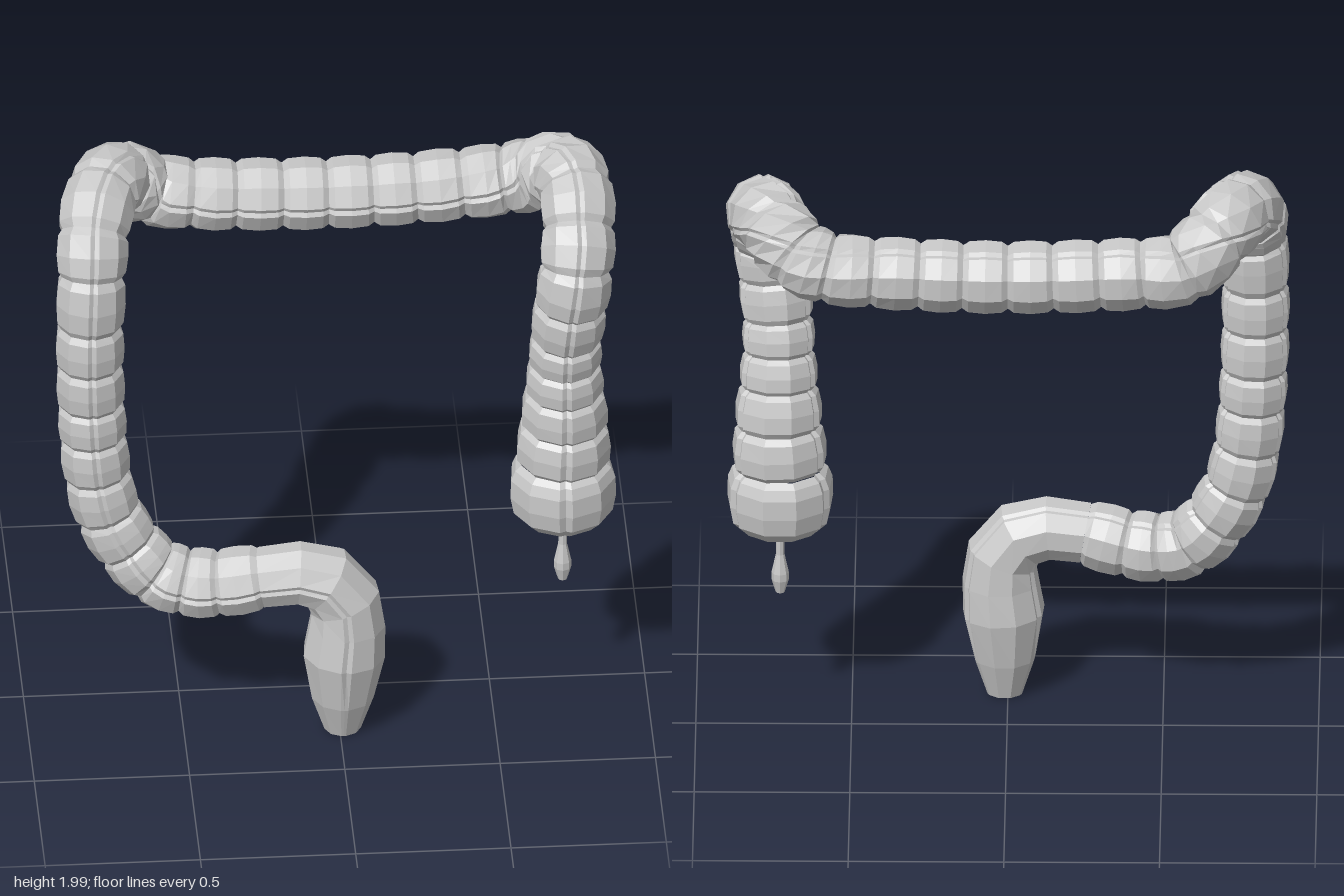
import * as THREE from 'three';

// Each row is a pinch between two pouches: x, y, z, radius
const ascending = [
  [0.73, 0.885, 0.08, 0.155], [0.735, 1.03, 0.085, 0.145], [0.735, 1.165, 0.1, 0.13],
  [0.735, 1.28, 0.115, 0.118], [0.738, 1.39, 0.135, 0.116], [0.75, 1.53, 0.16, 0.12],
  [0.768, 1.67, 0.165, 0.12],
];
const rightBend = [
  [0.78, 1.775, 0.09, 0.12], [0.78, 1.85, -0.03, 0.12], [0.745, 1.855, -0.14, 0.12],
  [0.67, 1.79, -0.22, 0.12],
];
const transverse = [0.57, 0.43, 0.28, 0.14, -0.005, -0.15, -0.3, -0.44]
  .map((x) => [x, 1.728 + 0.09 * x * x, -0.245, 0.117]);
const leftBend = [
  [-0.575, 1.765, -0.25, 0.118], [-0.67, 1.85, -0.2, 0.12], [-0.74, 1.88, -0.07, 0.12],
  [-0.78, 1.81, 0.07, 0.118],
];
const descending = [
  [-0.79, 1.69, 0.13, 0.112], [-0.796, 1.51, 0.145, 0.11], [-0.796, 1.36, 0.145, 0.11],
  [-0.792, 1.21, 0.14, 0.11], [-0.785, 1.08, 0.14, 0.11], [-0.77, 0.935, 0.14, 0.11],
  [-0.735, 0.79, 0.145, 0.11],
];
const sigmoid = [
  [-0.67, 0.67, 0.155, 0.11], [-0.59, 0.58, 0.175, 0.112], [-0.495, 0.548, 0.195, 0.114],
  [-0.385, 0.55, 0.215, 0.112],
];
const rectum = [
  [-0.25, 0.578, 0.235, 0.108], [-0.13, 0.592, 0.24, 0.104], [-0.04, 0.568, 0.243, 0.112],
  [0.018, 0.49, 0.245, 0.118], [0.024, 0.4, 0.247, 0.125], [0.014, 0.29, 0.248, 0.134],
  [0.01, 0.13, 0.247, 0.102], [0.01, 0.005, 0.245, 0.06],
];

const parts = { ascending, rightBend, transverse, leftBend, descending, sigmoid, rectum };
const rows = Object.values(parts).flat();
const curve = new THREE.CatmullRomCurve3(rows.map((p) => new THREE.Vector3(p[0], p[1], p[2])), false, 'centripetal');

// Three rounded lobes separated by narrow lengthwise grooves
const section = [];
for (let lobe = 0; lobe < 3; lobe++) {
  for (const [deg, groove] of [[0, 1], [7, 0], [42, 0], [78, 0], [113, 0]]) {
    section.push([THREE.MathUtils.degToRad(lobe * 120 + deg), groove]);
  }
}

// Ring of points around a centre, with its first groove turned to the front or top
function makeRing(centre, tangent, radius, depth) {
  const lift = THREE.MathUtils.clamp((centre.y - 1.74) / 0.09, 0, 1);
  const n = new THREE.Vector3(0, lift, 1).addScaledVector(tangent, -(lift * tangent.y + tangent.z)).normalize();
  const b = new THREE.Vector3().crossVectors(tangent, n);
  return section.map(([a, groove]) => {
    const r = radius * (1 - groove * depth);
    return centre.clone().addScaledVector(n, Math.cos(a) * r).addScaledVector(b, Math.sin(a) * r);
  });
}

// Skin a list of rings, optionally closing either end
function skin(rings, capStart, capEnd) {
  const count = section.length;
  const points = rings.flat();
  const index = [];
  for (let i = 0; i < rings.length - 1; i++) {
    for (let j = 0; j < count; j++) {
      const a = i * count + j;
      const b = i * count + ((j + 1) % count);
      index.push(a, b, a + count, b, b + count, a + count);
    }
  }
  const cap = (start, flip) => {
    const centre = new THREE.Vector3();
    for (let j = 0; j < count; j++) centre.addScaledVector(points[start + j], 1 / count);
    const c = points.push(centre) - 1;
    for (let j = 0; j < count; j++) {
      const a = start + j;
      const b = start + ((j + 1) % count);
      index.push(c, flip ? b : a, flip ? a : b);
    }
  };
  if (capStart) cap(0, true);
  if (capEnd) cap((rings.length - 1) * count, false);
  const geometry = new THREE.BufferGeometry().setFromPoints(points);
  geometry.setIndex(index);
  geometry.computeVertexNormals();
  return geometry;
}

export function createModel() {
  const group = new THREE.Group();
  const tissue = new THREE.MeshStandardMaterial({ color: 0xc8c8c8, flatShading: true });
  tissue.name = 'pale grey';
  const add = (name, geometry) => {
    const mesh = new THREE.Mesh(geometry, tissue);
    mesh.name = name;
    group.add(mesh);
  };
  const last = rows.length - 1;
  const ringAt = (k, factor, depth) => {
    const i = Math.min(Math.floor(k), last - 1);
    const radius = THREE.MathUtils.lerp(rows[i][3], rows[i + 1][3], k - i) * factor;
    return makeRing(curve.getPoint(k / last), curve.getTangent(k / last), radius, depth);
  };

  // Pouched lengths of the tube
  const pouch = [[0, 0.88], [0.13, 0.99], [0.5, 1.03], [0.87, 0.99]];
  let first = 0;
  for (const [name, list] of Object.entries(parts)) {
    if (name === 'rectum') break;
    const rings = [];
    for (let s = first; s < first + list.length; s++) {
      for (const [t, f] of pouch) rings.push(ringAt(s + t, f, 0.07));
    }
    first += list.length;
    rings.push(ringAt(first, 0.88, 0.07));
    add(name, skin(rings));
  }

  // Smooth final length, its grooves fading toward the outlet
  const end = [];
  for (let k = first; k <= last; k++) end.push(ringAt(k, k === first ? 0.92 : 1, k < last - 1 ? 0.06 : 0));
  add('rectum', skin(end, false, true));

  // Wide closed pouch at the start
  const up = new THREE.Vector3(0, 1, 0);
  const pouchRings = [[0.645, 0.04], [0.672, 0.125], [0.71, 0.163], [0.77, 0.174], [0.835, 0.172], [0.87, 0.158], [0.888, 0.137]]
    .map(([y, r]) => makeRing(new THREE.Vector3(0.73, y, 0.082), up, r, 0.06));
  add('cecum', skin(pouchRings, true, false));

  // Thin stalk with a swollen tip
  const stalk = [[0, 0.428], [0.015, 0.435], [0.028, 0.48], [0.028, 0.505], [0.014, 0.57], [0.013, 0.66]];
  const appendix = new THREE.LatheGeometry(stalk.map(([r, y]) => new THREE.Vector2(r, y)), 8);
  add('appendix', appendix.translate(0.73, 0, 0.085));
  return group;
}
